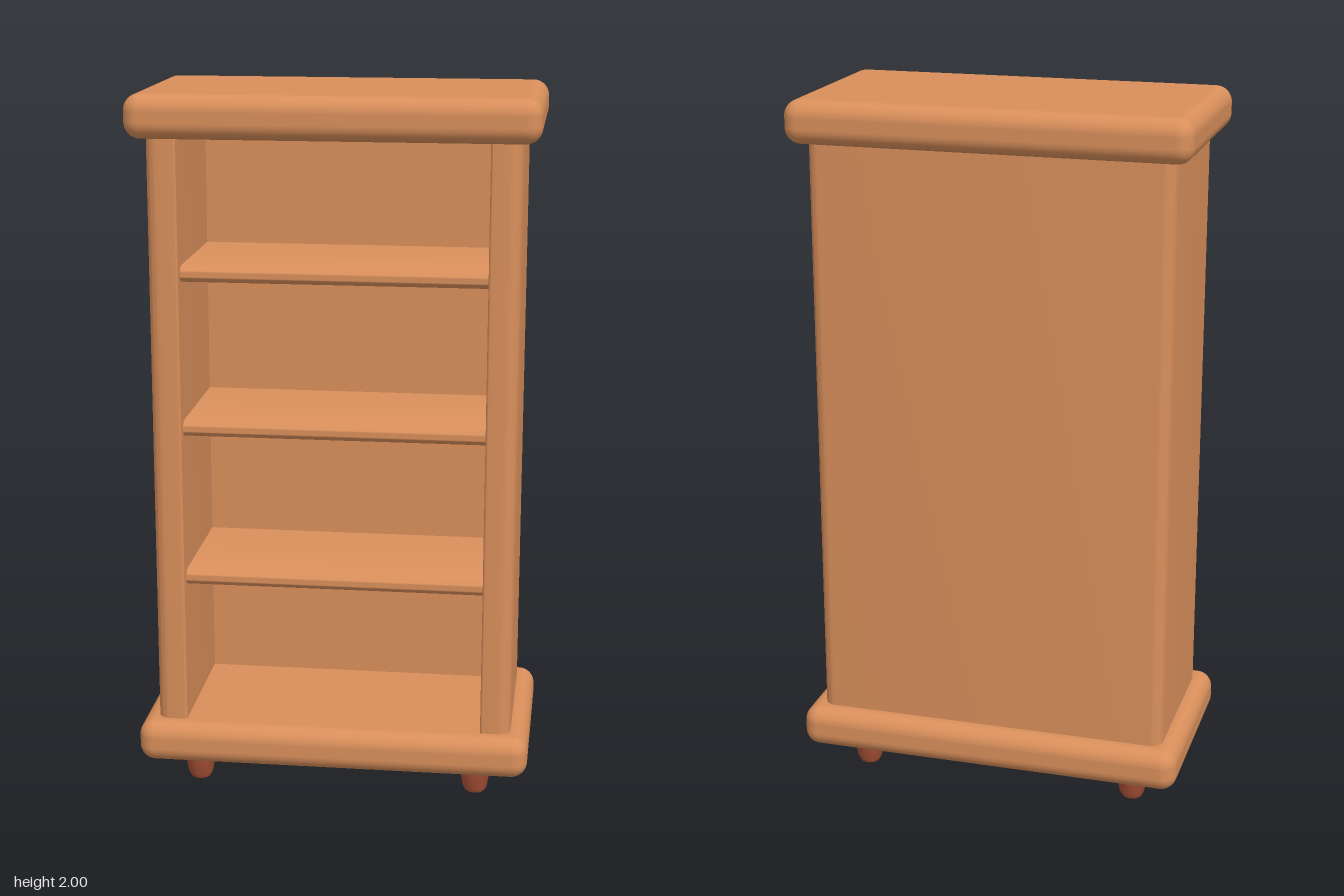
import * as THREE from 'three';
import { toCreasedNormals } from 'three/addons/utils/BufferGeometryUtils.js';
import { RoundedBoxGeometry } from 'three/addons/geometries/RoundedBoxGeometry.js';

const wood = new THREE.MeshStandardMaterial({ color: 0xd98f5b });
wood.name = 'warm wood';
const darkWood = new THREE.MeshStandardMaterial({ color: 0xae5438 });
darkWood.name = 'red brown wood';

function addMesh(parent, name, geometry, material, x = 0, y = 0, z = 0) {
  const mesh = new THREE.Mesh(geometry, material);
  mesh.name = name;
  mesh.position.set(x, y, z);
  parent.add(mesh);
  return mesh;
}

// Closed outline with each corner [x, y, radius] rounded off
function roundedShape(corners) {
  const shape = new THREE.Shape();
  const n = corners.length;
  corners.forEach(([x, y, r], i) => {
    const p = new THREE.Vector2(x, y);
    const toward = (c) => new THREE.Vector2(c[0], c[1]).sub(p).setLength(r).add(p);
    const a = toward(corners[(i + n - 1) % n]);
    const b = toward(corners[(i + 1) % n]);
    if (i === 0) shape.moveTo(a.x, a.y);
    else shape.lineTo(a.x, a.y);
    if (r > 0) {
      // Control points that approximate a quarter circle
      const c1 = a.clone().lerp(p, 0.5523);
      const c2 = b.clone().lerp(p, 0.5523);
      shape.bezierCurveTo(c1.x, c1.y, c2.x, c2.y, b.x, b.y);
    }
  });
  shape.closePath();
  return shape;
}

function extrude(shape, depth) {
  const geometry = new THREE.ExtrudeGeometry(shape, { depth, bevelEnabled: false, curveSegments: 8 });
  return toCreasedNormals(geometry, 0.6);
}

export function createModel() {
  const group = new THREE.Group();
  group.name = 'bookcase';

  // Base and top slabs with soft edges
  const slab = new RoundedBoxGeometry(1.11, 0.12, 0.606, 6, 0.045);
  addMesh(group, 'baseSlab', slab, wood, 0, 0.16, 0);
  addMesh(group, 'topSlab', slab, wood, 0, 1.94, 0);

  // Sides and back as one U-shaped plan, open at the front
  const plan = roundedShape([
    [-0.505, -0.25, 0.035], [-0.42, -0.25, 0.006], [-0.42, 0.18, 0], [0.42, 0.18, 0],
    [0.42, -0.25, 0.006], [0.505, -0.25, 0.035], [0.505, 0.25, 0.035], [-0.505, 0.25, 0.035],
  ]);
  const body = extrude(plan, 1.68);
  body.rotateX(-Math.PI / 2);
  addMesh(group, 'sidesAndBack', body, wood, 0, 0.21, 0);

  // Three shelves with a rounded front edge
  const profile = roundedShape([
    [-0.22, -0.0225, 0.02], [0.19, -0.0225, 0], [0.19, 0.0225, 0], [-0.22, 0.0225, 0.02],
  ]);
  const shelf = extrude(profile, 0.85);
  shelf.translate(0, 0, -0.425);
  shelf.rotateY(Math.PI / 2);
  [0.638, 1.073, 1.508].forEach((y, i) => addMesh(group, `shelf${i + 1}`, shelf, wood, 0, y, 0));

  // Four tapered feet
  const footProfile = [[0, 0], [0.028, 0], [0.036, 0.014], [0.052, 0.105], [0, 0.105]]
    .map(([r, y]) => new THREE.Vector2(r, y));
  const foot = toCreasedNormals(new THREE.LatheGeometry(footProfile, 10), 0.7);
  for (const [sx, side] of [[1, 'left'], [-1, 'right']]) {
    for (const [sz, end] of [[1, 'Front'], [-1, 'Back']]) {
      addMesh(group, `${side}${end}Foot`, foot, darkWood, sx * 0.403, 0, sz * 0.143);
    }
  }
  return group;
}
